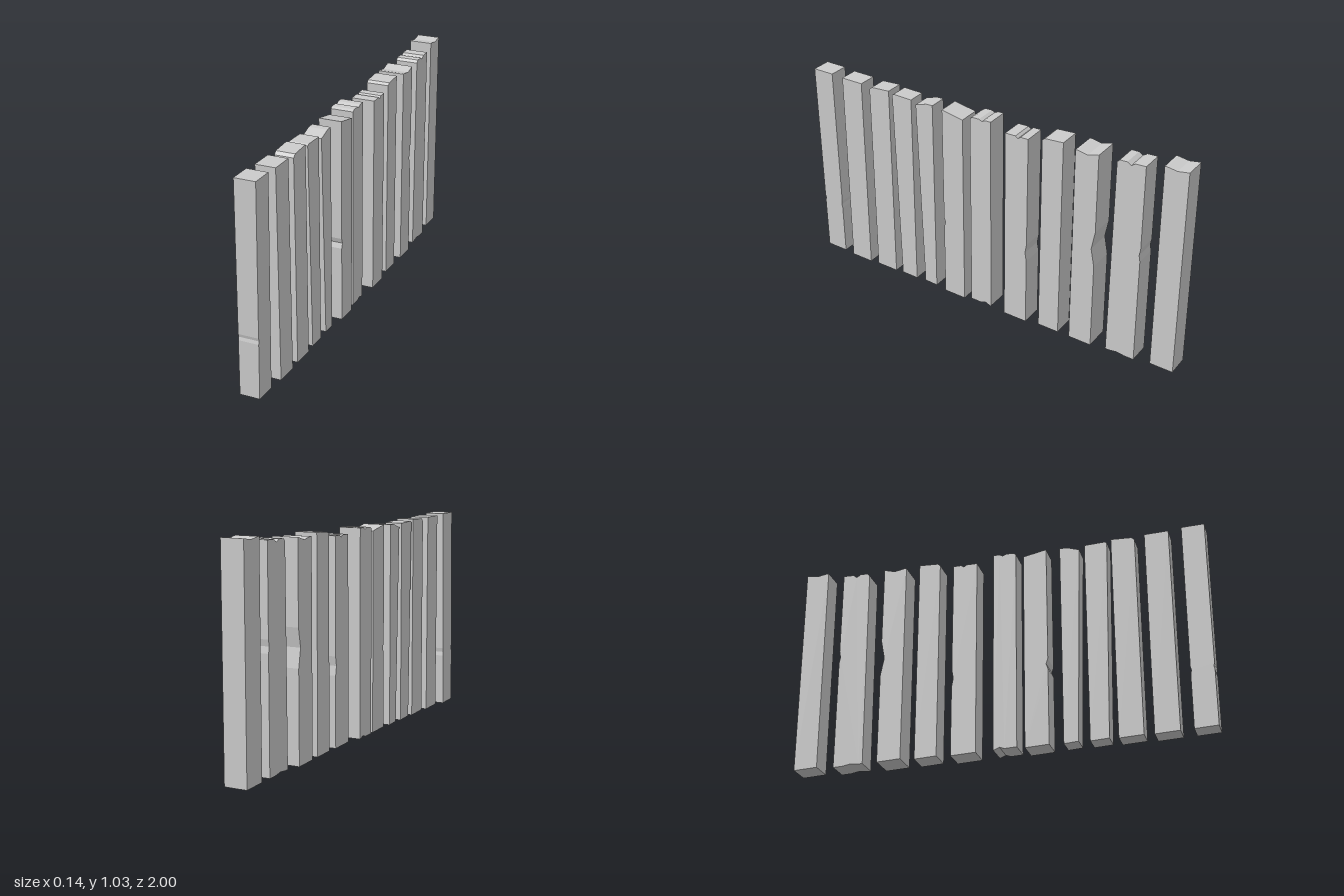
import * as THREE from 'three';

// front/back: z of the two edges, left/right: x of the two flat sides, top: height at front and back.
// Optional wear: foot (front edge set back at the ground), chip (sloping top corner: depth, drop),
// groove (top dent: z, half width, depth), nick (dent in an edge: height, half height, depth),
// hollow (dent under the foot: z, half width, depth), lean (shift of each side at the ground).
const PLANKS = [
  { front: 1, back: 0.892, right: -0.06, left: 0.04, top: [1.017, 1.015], frontNick: [0.29, 0.015, 0.004], backNick: [0.28, 0.02, 0.004], lean: [-0.01, -0.015] },
  { front: 0.83, back: 0.716, right: -0.055, left: 0.04, top: [1.01, 1.008] },
  { front: 0.668, back: 0.555, right: -0.05, left: 0.04, top: [1.004, 1.01], chip: [0.014, 0.013] },
  { front: 0.535, back: 0.426, right: -0.05, left: 0.04, top: [1.002, 0.998], foot: 0.022, chip: [0.01, 0.006] },
  { front: 0.4, back: 0.305, right: -0.05, left: 0.04, top: [0.998, 1], foot: 0.027, chip: [0.06, 0.018] },
  { front: 0.238, back: 0.125, right: -0.05, left: 0.06, top: [1.005, 0.983], frontNick: [0.405, 0.025, 0.009] },
  { front: 0.09, back: -0.022, right: -0.06, left: 0.05, top: [1.005, 1.008], chip: [0.014, 0.007], groove: [0.025, 0.016, 0.008], hollow: [0.008, 0.024, 0.01] },
  { front: -0.11, back: -0.23, right: -0.045, left: 0.068, top: [0.986, 0.987], groove: [-0.177, 0.013, 0.01], backNick: [0.39, 0.045, 0.008] },
  { front: -0.297, back: -0.404, right: -0.05, left: 0.06, top: [1.01, 1.016], chip: [0.013, 0.01] },
  { front: -0.469, back: -0.584, right: -0.062, left: 0.068, top: [1.005, 1.01], groove: [-0.53, 0.05, 0.012], backNick: [0.53, 0.09, 0.017] },
  { front: -0.668, back: -0.806, right: -0.05, left: 0.06, top: [1.012, 1.016], foot: -0.008, chip: [0.012, 0.012], groove: [-0.736, 0.02, 0.013], backNick: [0.57, 0.03, 0.006], hollow: [-0.72, 0.04, 0.006] },
  { front: -0.885, back: -1, right: -0.062, left: 0.05, top: [1.038, 1.038], groove: [-0.945, 0.05, 0.008] },
];

const FRONT_BASE = 0.008;
const BACK_BASE = 0.003;

// Three-point dent along one edge; at(t, d) gives the corner at position t, sunk by d
const dent = ([centre, half, depth], at) =>
  [at(centre - half, 0), at(centre, depth), at(centre + half, 0)];

// Side outline in (-z, y): up the front, along the top, down the back, along the foot
function sideOutline({ front, back, top, foot = 0, chip = [0, 0], groove, frontNick, backNick, hollow }) {
  const v = (z, y) => new THREE.Vector2(-z, y);
  const lerp = THREE.MathUtils.lerp;
  const frontAt = (y) => lerp(front - foot, front, y / top[0]);
  const topAt = (z) => lerp(top[0], top[1], (front - z) / (front - back));
  const baseAt = (z) => lerp(FRONT_BASE, BACK_BASE, (front - z) / (front - back));

  const points = [v(front - foot, FRONT_BASE)];
  if (frontNick) points.push(...dent(frontNick, (y, d) => v(frontAt(y) - d, y)));
  points.push(v(front, top[0] - chip[1]));
  if (chip[0]) points.push(v(front - chip[0], topAt(front - chip[0])));
  if (groove) points.push(...dent(groove, (z, d) => v(z, topAt(z) - d)).reverse());
  points.push(v(back, top[1]));
  if (backNick) points.push(...dent(backNick, (y, d) => v(back + d, y)).reverse());
  points.push(v(back, BACK_BASE));
  if (hollow) points.push(...dent(hollow, (z, d) => v(z, baseAt(z) + d)));
  return points;
}

// Extrudes the side outline across x, letting each flat side lean
function plankGeometry(plank) {
  const { right, left, top, lean = [0, 0] } = plank;
  const shape = new THREE.Shape(sideOutline(plank));
  const geo = new THREE.ExtrudeGeometry(shape, { depth: left - right, bevelEnabled: false });
  geo.rotateY(Math.PI / 2).translate(right, 0, 0);
  const p = geo.attributes.position;
  for (let i = 0; i < p.count; i++) {
    const shift = p.getX(i) < (right + left) / 2 ? lean[0] : lean[1];
    p.setX(i, p.getX(i) + shift * (1 - p.getY(i) / top[0]));
  }
  geo.computeVertexNormals();
  return geo;
}

export function createModel() {
  const model = new THREE.Group();
  model.name = 'plankRow';
  const wood = new THREE.MeshStandardMaterial({ color: 0xcccccc, flatShading: true });
  PLANKS.forEach((plank, i) => {
    const mesh = new THREE.Mesh(plankGeometry(plank), wood);
    mesh.name = `plank${i + 1}`;
    model.add(mesh);
  });
  return model;
}
